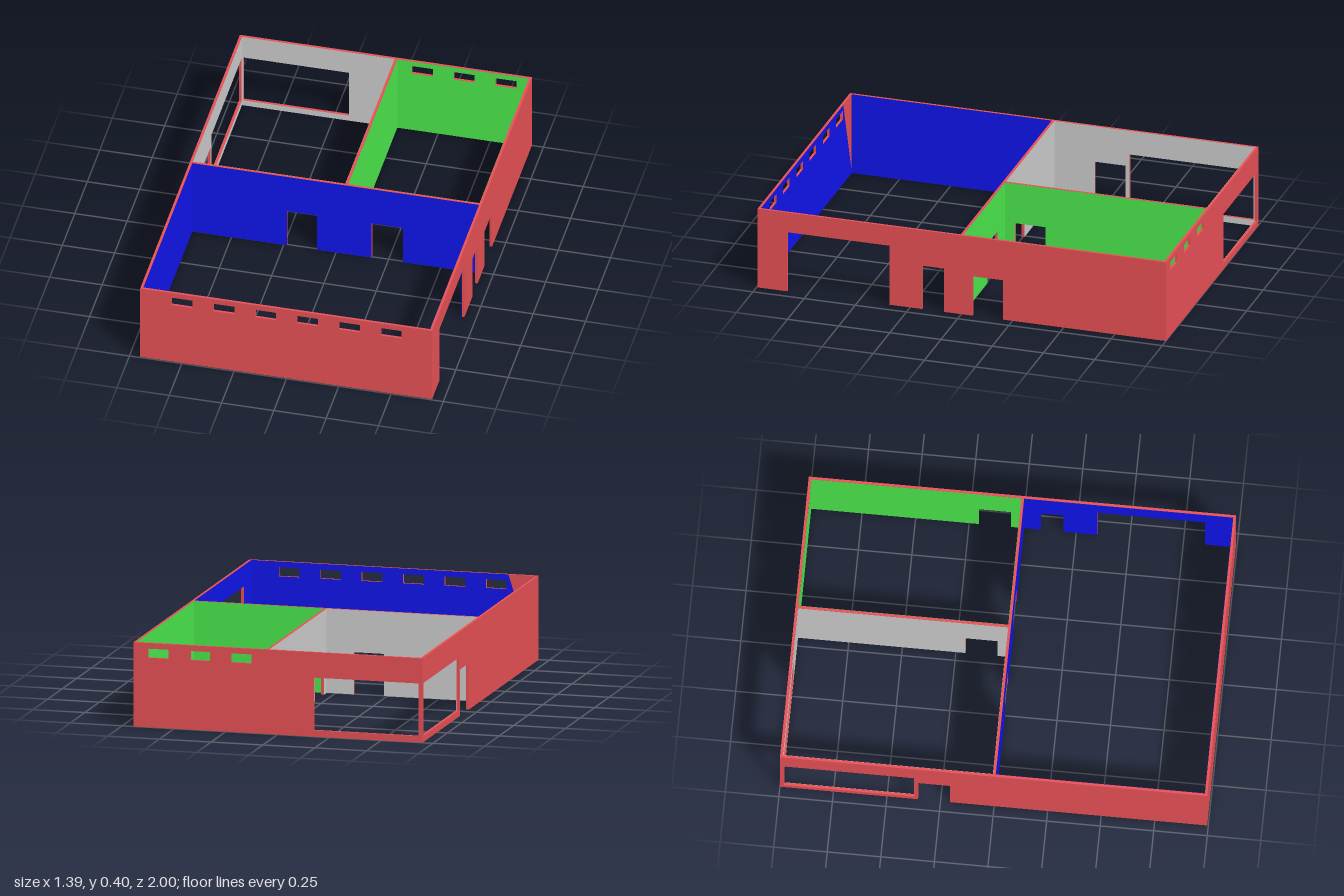
import * as THREE from 'three';

const H = 0.4, T = 0.012, GAP = 0.001;
const X0 = -0.7, X1 = 0.695, Z0 = -1, Z1 = 0.995;
const PX = 0.042, PZ = -0.006; // low faces of the partition and the cross wall

const mat = (color) => new THREE.MeshStandardMaterial({ color, side: THREE.DoubleSide });
const RED = mat(0xe65055), BLUE = mat(0x0f14ea), GREEN = mat(0x4ae64c), GREY = mat(0xcccccc);

// Wall outline from a to b; openings are [a, b, bottom, top], those at the floor become notches.
// cut slants the low end, leaving a triangle bare.
function outline(a, b, openings, cut = 0) {
  const inside = openings.filter((o) => o[0] > a && o[1] < b).sort((p, q) => p[0] - q[0]);
  const s = new THREE.Shape();
  s.moveTo(a, 0);
  for (const [l, r, bottom, top] of inside) {
    if (bottom > 0) {
      const h = new THREE.Path();
      h.moveTo(l, bottom);
      h.lineTo(l, top);
      h.lineTo(r, top);
      h.lineTo(r, bottom);
      h.closePath();
      s.holes.push(h);
    } else {
      s.lineTo(l, 0);
      s.lineTo(l, top);
      s.lineTo(r, top);
      s.lineTo(r, 0);
    }
  }
  s.lineTo(b, 0);
  s.lineTo(b, H);
  s.lineTo(a + cut, H);
  s.closePath();
  return s;
}

// A wall along x or z whose low face is at `at`, with painted panels.
// Each paint is { from, to, side: -1 low face / +1 high face, material, cut }.
function wall(name, axis, at, a, b, openings, paints) {
  const g = new THREE.Group();
  g.name = name;
  const place = (mesh, offset) => {
    if (axis === 'x') mesh.position.z = offset;
    else {
      mesh.rotation.y = -Math.PI / 2;
      mesh.position.x = offset;
    }
    g.add(mesh);
  };
  const core = new THREE.Mesh(
    new THREE.ExtrudeGeometry(outline(a, b, openings), { depth: T, bevelEnabled: false }), RED);
  core.name = name + 'Core';
  place(core, axis === 'x' ? at : at + T);
  for (const p of paints) {
    const panel = new THREE.Mesh(
      new THREE.ShapeGeometry(outline(p.from, p.to, openings, p.cut)), p.material);
    panel.name = name + 'Paint';
    place(panel, p.side > 0 ? at + T + GAP : at - GAP);
  }
  return g;
}

export function createModel() {
  const model = new THREE.Group();
  model.name = 'building';

  // High windows
  const frontWindows = [];
  for (let i = 0; i < 6; i++) frontWindows.push([-0.55 + i * 0.2, -0.45 + i * 0.2, 0.33, 0.373]);
  const backWindows = [0.125, 0.325, 0.525].map((x) => [x, x + 0.1, 0.33, 0.373]);

  // Inner limits of the rooms
  const xl = X0 + T, xr = X1 - T, zb = Z0 + T, zf = Z1 - T;

  // Outer walls
  model.add(wall('frontWall', 'x', zf, X0, X1, frontWindows, [
    { from: xl, to: xr, side: -1, material: BLUE, cut: 0.13 },
  ]));
  model.add(wall('backWall', 'x', Z0, X0, X1, [[-0.68, -0.175, 0.03, 0.28], ...backWindows], [
    { from: xl, to: PX, side: 1, material: GREY },
    { from: PX + T, to: xr, side: 1, material: GREEN },
  ]));
  model.add(wall('leftWall', 'z', xr, zb, zf,
    [[0.35, 0.85, 0, 0.3], [0.085, 0.19, 0, 0.22], [-0.205, -0.055, 0, 0.2]], [
      { from: zb, to: PZ, side: -1, material: GREEN },
      { from: PZ + T, to: zf, side: -1, material: BLUE },
    ]));
  model.add(wall('rightWall', 'z', X0, zb, zf,
    [[-0.98, -0.375, 0.03, 0.28], [-0.355, -0.205, 0, 0.22]], [
      { from: zb, to: PZ, side: 1, material: GREY },
      { from: PZ + T, to: zf, side: 1, material: BLUE },
    ]));

  // Inner walls
  model.add(wall('crossWall', 'x', PZ, xl, xr,
    [[-0.235, -0.09, 0, 0.2], [0.17, 0.32, 0, 0.2]], [
      { from: xl, to: xr, side: 1, material: BLUE },
      { from: xl, to: PX, side: -1, material: GREY },
      { from: PX + T, to: xr, side: -1, material: GREEN },
    ]));
  model.add(wall('partition', 'z', PX, zb, PZ, [[-0.205, -0.055, 0, 0.2]], [
    { from: zb, to: PZ, side: 1, material: GREEN },
    { from: zb, to: PZ, side: -1, material: GREY },
  ]));

  return model;
}
